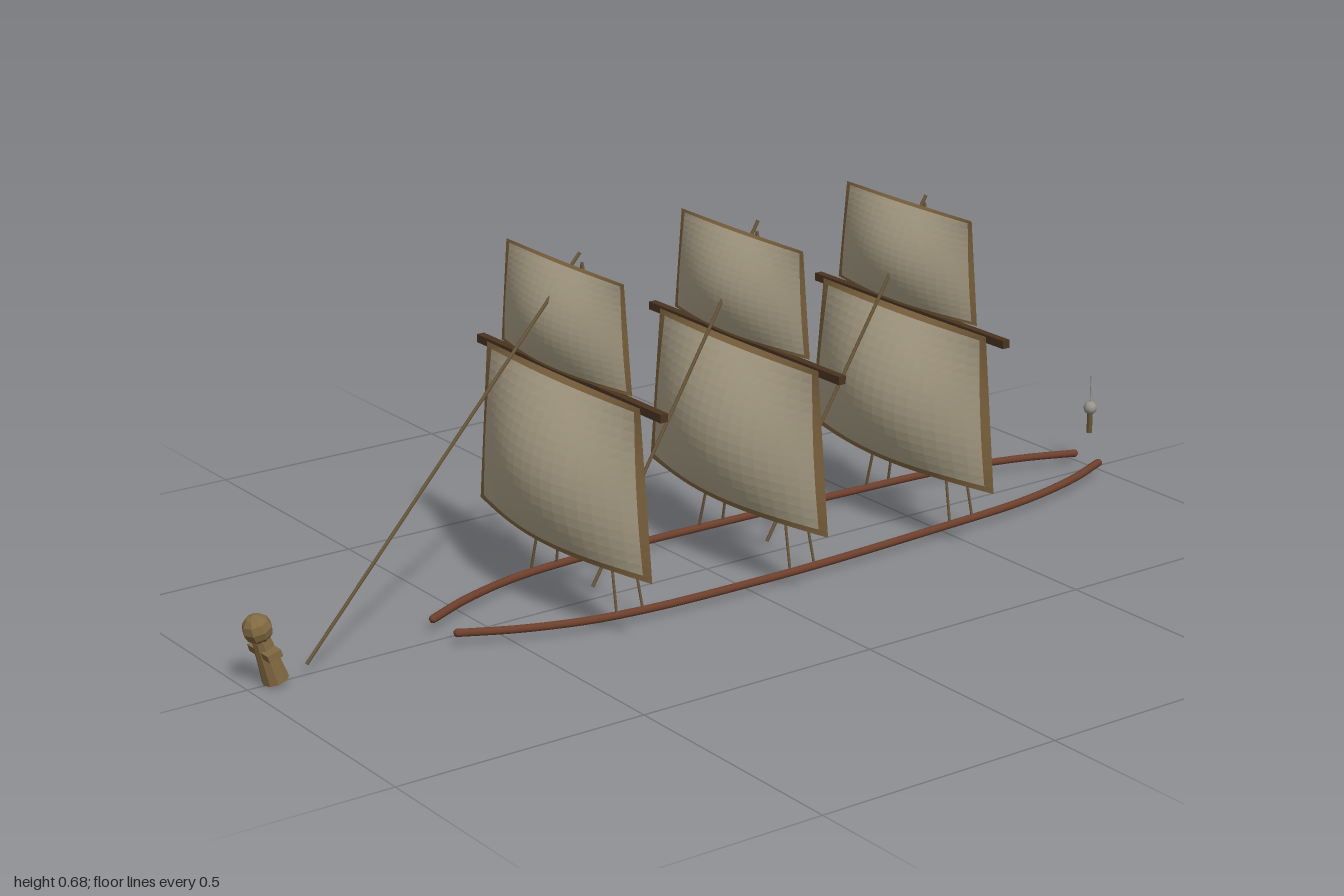
import * as THREE from 'three';

const mat = (name, color, side = THREE.FrontSide, flatShading = false) => {
  const m = new THREE.MeshStandardMaterial({ color, side, flatShading });
  m.name = name;
  return m;
};

export function createModel() {
  const root = new THREE.Group();
  root.name = 'sailingRig';
  const canvas = mat('canvas', 0xb7ab91, THREE.DoubleSide, true);
  const hem = mat('sailHem', 0x8a6d45, THREE.DoubleSide, true);
  const railWood = mat('railWood', 0x6e402c);
  const yardWood = mat('yardWood', 0x4a3420);
  const rope = mat('rope', 0x6b583a);
  const carved = mat('carvedWood', 0x826a42, THREE.FrontSide, true);
  const metal = mat('lanternGrey', 0x989489);

  const add = (name, geo, material, parent = root) => {
    const m = new THREE.Mesh(geo, material);
    m.name = name;
    parent.add(m);
    return m;
  };
  const V = (x, y, z) => new THREE.Vector3(x, y, z);

  // Straight rod between two points
  const rod = (name, a, b, r, material, parent) => {
    const d = b.clone().sub(a);
    const m = add(name, new THREE.CylinderGeometry(r, r, d.length(), 6), material, parent);
    m.position.copy(a).add(b).multiplyScalar(0.5);
    m.quaternion.setFromUnitVectors(V(0, 1, 0), d.normalize());
    return m;
  };

  // Billowing trapezoid sail; the outermost cells, hemX and hemY wide, form the hem
  const sail = (name, y0, y1, w0, w1, z, depth, hemX, hemY, parent) => {
    const n = 18, pos = [], inner = [], border = [];
    const steps = (width) => Array.from({ length: n + 1 }, (_, i) =>
      i === 0 ? 0 : i === n ? 1 : width + (1 - 2 * width) * (i - 1) / (n - 2));
    const us = steps(hemX / (w0 + w1)), vs = steps(hemY / (y1 - y0));
    for (const v of vs) {
      for (const u of us) {
        const half = w0 + (w1 - w0) * v;
        const belly = depth * Math.sin(Math.PI * u) * Math.sin(Math.PI * (0.2 + 0.78 * v));
        pos.push((u * 2 - 1) * half, y0 + (y1 - y0) * v, z + belly);
      }
    }
    for (let j = 0; j < n; j++) {
      for (let i = 0; i < n; i++) {
        const a = j * (n + 1) + i, c = a + n + 1;
        const edge = i === 0 || j === 0 || i === n - 1 || j === n - 1;
        (edge ? border : inner).push(a, a + 1, c + 1, a, c + 1, c);
      }
    }
    const g = new THREE.BufferGeometry();
    g.setAttribute('position', new THREE.Float32BufferAttribute(pos, 3));
    g.setIndex([...inner, ...border]);
    g.addGroup(0, inner.length, 0);
    g.addGroup(inner.length, border.length, 1);
    g.computeVertexNormals();
    add(name, g, [canvas, hem], parent);
  };

  // Curved side rails
  const railPlan = [[0.042, 0.59], [0.09, 0.49], [0.13, 0.36], [0.147, 0.22], [0.15, 0], [0.148, -0.15],
    [0.135, -0.45], [0.118, -0.7], [0.08, -0.87], [0.037, -0.98]];
  for (const s of [-1, 1]) {
    const pts = railPlan.map(([x, z]) => V(s * x, 0.02 + 0.006 * Math.min(1, Math.abs(z + 0.1)), z));
    const curve = new THREE.CatmullRomCurve3(pts);
    const name = s > 0 ? 'leftRail' : 'rightRail';
    add(name, new THREE.TubeGeometry(curve, 48, 0.008, 8), railWood);
    for (const p of [pts[0], pts[pts.length - 1]]) {
      add(name + 'End', new THREE.SphereGeometry(0.008, 8, 6), railWood).position.copy(p);
    }
  }

  // Three sets of sails, yards, shrouds and stays, front to back
  const rigs = [
    { name: 'fore', z: 0.31, apex: 0.28, y: 0, yard: 0.30, foot: 0.143, stay: [0.68, 0.285, 0.02, 0.88] },
    { name: 'main', z: -0.09, apex: -0.118, y: -0.006, yard: 0.30, foot: 0.147, stay: [0.675, -0.12, 0.025, 0.265] },
    { name: 'rear', z: -0.495, apex: -0.527, y: -0.014, yard: 0.29, foot: 0.132, stay: [0.66, -0.53, 0.025, -0.145] },
  ];
  for (const r of rigs) {
    const g = new THREE.Group();
    g.name = r.name + 'Rig';
    root.add(g);
    sail('lowerSail', 0.135, 0.457 + r.y, 0.285, 0.25, r.z + 0.019, 0.073, 0.019, 0.011, g);
    sail('upperSail', 0.468 + r.y, 0.67 + r.y, 0.213, 0.19, r.z + 0.01, 0.046, 0.012, 0.006, g);
    add('yard', new THREE.BoxGeometry(r.yard * 2, 0.016, 0.016), yardWood, g).position.set(0, 0.449 + r.y, r.z + 0.002);
    for (const s of [-1, 1]) {
      for (const dz of [-0.029, 0.029]) {
        rod('shroud', V(s * r.foot, 0.025, r.apex + dz), V(0, 0.66 + r.y, r.apex), 0.0029, rope, g);
      }
    }
    const [ya, za, yb, zb] = r.stay;
    rod('stay', V(0, ya, za), V(0, yb, zb), 0.0036, rope, g);
  }

  // Carved figure at the bow, leaning forward
  const figure = new THREE.Group();
  figure.name = 'bowFigure';
  figure.position.set(0, 0.008, 0.943);
  figure.rotation.x = 0.3;
  root.add(figure);
  add('body', new THREE.CylinderGeometry(0.017, 0.025, 0.088, 10), carved, figure).position.y = 0.044;
  add('arms', new THREE.BoxGeometry(0.074, 0.014, 0.028), carved, figure).position.y = 0.062;
  add('head', new THREE.SphereGeometry(0.028, 8, 6), carved, figure).position.y = 0.108;

  // Stern lantern with post and spike
  const lantern = new THREE.Group();
  lantern.name = 'sternLantern';
  lantern.position.set(0, 0, -0.986);
  root.add(lantern);
  rod('post', V(0, 0.08, 0), V(0, 0.125, 0), 0.006, rope, lantern);
  rod('spike', V(0, 0.13, 0), V(0, 0.203, 0), 0.0014, metal, lantern);
  add('lamp', new THREE.SphereGeometry(0.014, 10, 8), metal, lantern).position.y = 0.134;

  return root;
}
